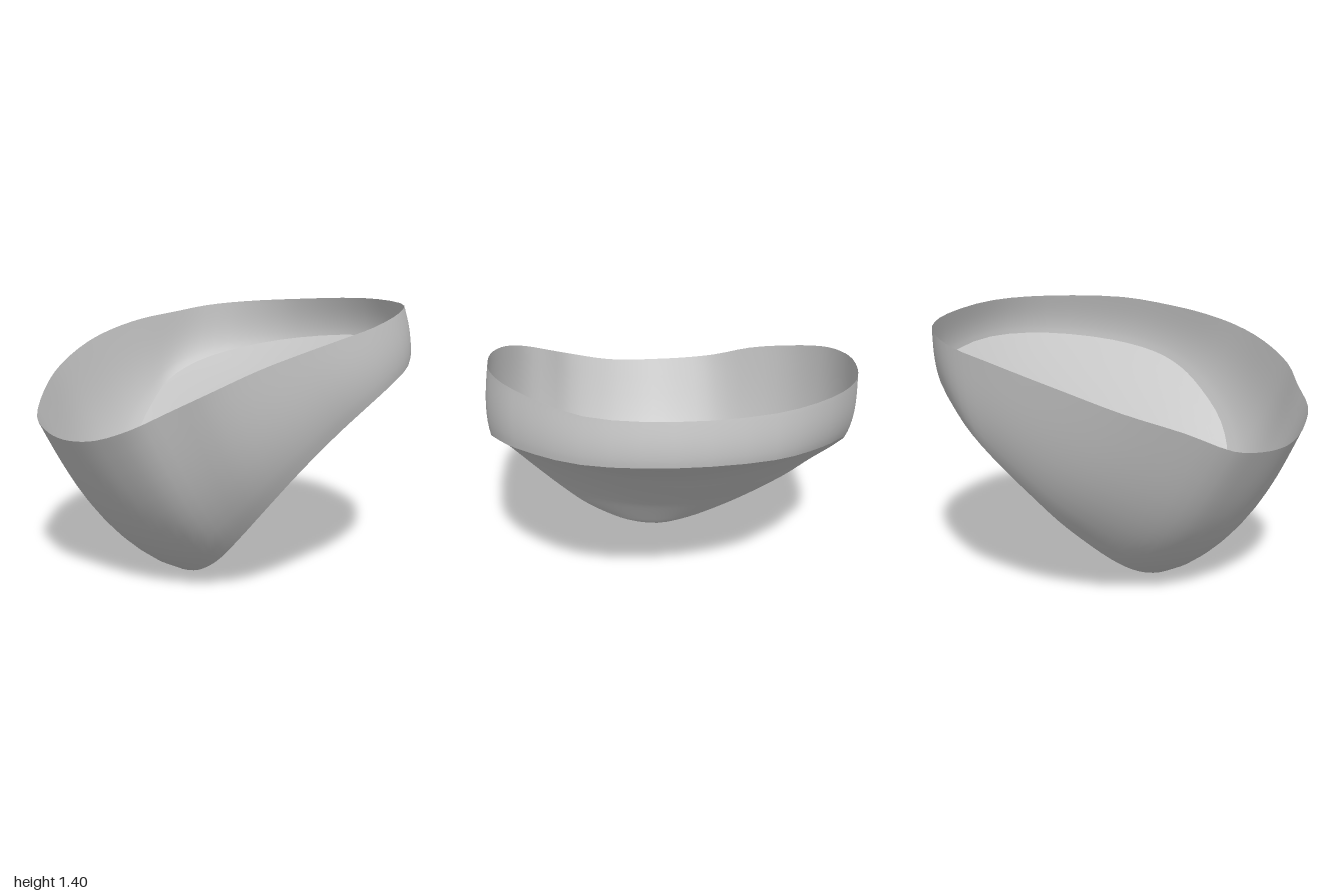
import * as THREE from 'three';
import { mergeVertices } from 'three/addons/utils/BufferGeometryUtils.js';

const toPoints = (list) => list.map((p) => new THREE.Vector3(...p));

// Closed top edge of the wall, from the front around by the model's left
const rim = new THREE.CatmullRomCurve3(toPoints([
  [0, 0.79, 1], [0.15, 0.797, 0.99], [0.31, 0.825, 0.96], [0.51, 0.9, 0.89],
  [0.64, 0.99, 0.76], [0.77, 1.08, 0.63], [0.87, 1.18, 0.42], [0.93, 1.25, 0.2],
  [0.945, 1.3, -0.02], [0.92, 1.34, -0.25], [0.8, 1.385, -0.54], [0.48, 1.4, -0.875],
  [0.08, 1.4, -0.97], [-0.4, 1.37, -0.88], [-0.7, 1.345, -0.7], [-0.85, 1.32, -0.52],
  [-0.925, 1.285, -0.33], [-0.96, 1.25, -0.1], [-0.95, 1.2, 0.12], [-0.9, 1.14, 0.32],
  [-0.77, 1.04, 0.57], [-0.57, 0.94, 0.78], [-0.37, 0.835, 0.93], [-0.18, 0.8, 0.98],
]), true);

// Closed crease where the wall meets the floor, with matching stations
const crease = new THREE.CatmullRomCurve3(toPoints([
  [0.04, 0, 0.33], [0.22, 0.03, 0.34], [0.36, 0.09, 0.355], [0.48, 0.17, 0.355],
  [0.6, 0.29, 0.335], [0.75, 0.48, 0.27], [0.86, 0.67, 0.15], [0.92, 0.84, -0.03],
  [0.945, 0.96, -0.2], [0.92, 1.04, -0.37], [0.8, 1.11, -0.62], [0.5, 1.165, -0.9],
  [0.08, 1.18, -1], [-0.4, 1.13, -0.89], [-0.68, 1.06, -0.67], [-0.84, 0.97, -0.43],
  [-0.9, 0.86, -0.25], [-0.87, 0.72, -0.1], [-0.8, 0.57, 0.04], [-0.7, 0.43, 0.13],
  [-0.6, 0.32, 0.2], [-0.46, 0.19, 0.28], [-0.32, 0.1, 0.32], [-0.14, 0.03, 0.33],
]), true);

// Middle line of the floor, from the front tip to the back
const keel = new THREE.CatmullRomCurve3(toPoints([
  [0.04, 0, 0.33], [0.04, 0.03, 0.305], [0.03, 0.09, 0.26], [0.02, 0.17, 0.2],
  [0.02, 0.26, 0.13], [0.02, 0.4, 0], [0.02, 0.52, -0.12], [0.02, 0.65, -0.25],
  [0.03, 0.77, -0.4], [0.04, 0.88, -0.55], [0.05, 1, -0.73], [0.07, 1.11, -0.9],
  [0.08, 1.18, -1],
]));

// Smooth surface from a rule giving a point for each u, v
function surface(rule, nu, nv) {
  const positions = [];
  const index = [];
  for (let i = 0; i <= nu; i++) {
    for (let j = 0; j <= nv; j++) positions.push(...rule(i / nu, j / nv).toArray());
  }
  for (let i = 0; i < nu; i++) {
    for (let j = 0; j < nv; j++) {
      const a = i * (nv + 1) + j;
      const b = a + nv + 1;
      index.push(a, b, b + 1, a, b + 1, a + 1);
    }
  }
  let geometry = new THREE.BufferGeometry();
  geometry.setAttribute('position', new THREE.Float32BufferAttribute(positions, 3));
  geometry.setIndex(index);
  geometry = mergeVertices(geometry, 1e-5);
  geometry.computeVertexNormals();
  return geometry;
}

// Wall: crease to rim, bulging outward more where it is taller
function wallPoint(u, v) {
  const low = crease.getPoint(u % 1);
  const high = rim.getPoint(u % 1);
  const chord = high.clone().sub(low);
  const length = chord.length();
  chord.normalize();
  const out = new THREE.Vector3(high.x, 0, high.z).normalize();
  out.addScaledVector(chord, -out.dot(chord)).normalize();
  const bulge = (0.08 * length * length + 0.008) * Math.sin(Math.PI * v ** 0.8);
  return low.lerp(high, v).addScaledVector(out, bulge);
}

// Floor: a trough spanning opposite crease stations, sagging to the keel
function floorPoint(u, v) {
  const left = crease.getPoint(u / 2);
  const right = crease.getPoint((1 - u / 2) % 1);
  const sag = keel.getPoint(u).sub(left.clone().add(right).multiplyScalar(0.5));
  return right.lerp(left, v).addScaledVector(sag, 4 * v * (1 - v));
}

export function createModel() {
  const shell = new THREE.MeshStandardMaterial({ color: 0xc4c4c4, side: THREE.DoubleSide });
  shell.name = 'light grey';

  const wall = new THREE.Mesh(surface(wallPoint, 72, 10), shell);
  wall.name = 'wall';
  const floor = new THREE.Mesh(surface(floorPoint, 36, 20), shell);
  floor.name = 'floor';

  const model = new THREE.Group();
  model.name = 'curvedShell';
  model.add(wall, floor);
  return model;
}
